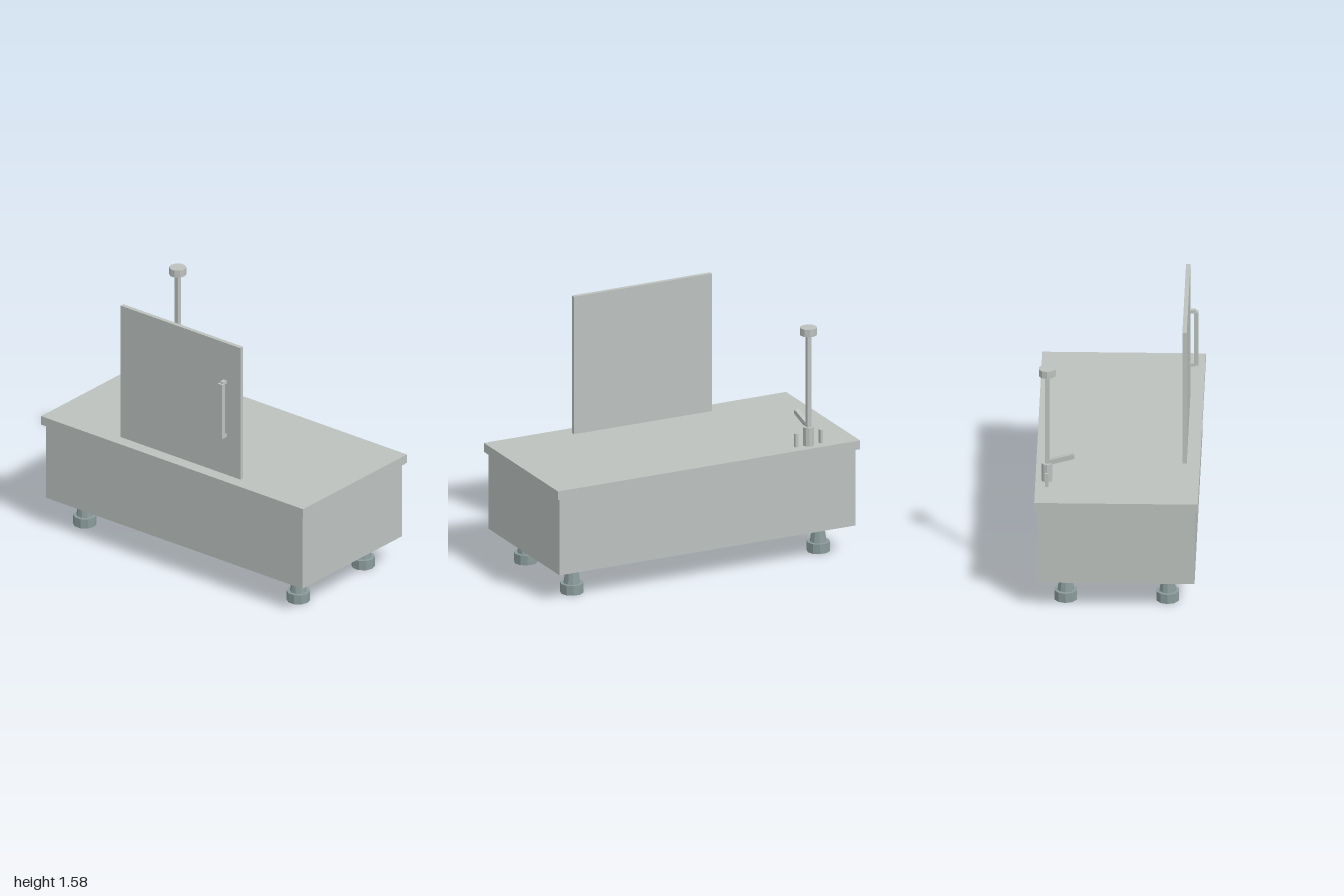
import * as THREE from 'three';

export function createModel() {
  const model = new THREE.Group();
  model.name = 'sinkCabinet';

  const makeMaterial = (name, color) => {
    const m = new THREE.MeshStandardMaterial({ color, flatShading: true });
    m.name = name;
    return m;
  };
  const steel = makeMaterial('light grey', 0xbcc1be);
  const footGrey = makeMaterial('blue grey', 0x8b9b9b);

  const add = (parent, name, geometry, material, x, y, z) => {
    const mesh = new THREE.Mesh(geometry, material);
    mesh.name = name;
    mesh.position.set(x, y, z);
    parent.add(mesh);
    return mesh;
  };
  const group = (name) => {
    const g = new THREE.Group();
    g.name = name;
    model.add(g);
    return g;
  };
  // Box and ten-sided cylinder, both placed by their bottom centre
  const box = (parent, name, w, h, d, x, y, z) =>
    add(parent, name, new THREE.BoxGeometry(w, h, d), steel, x, y + h / 2, z);
  const drum = (parent, name, rTop, rBottom, h, material, x, y, z) =>
    add(parent, name, new THREE.CylinderGeometry(rTop, rBottom, h, 10).rotateY(Math.PI / 2),
      material, x, y + h / 2, z);

  // Cabinet body and overhanging counter
  box(model, 'cabinetBody', 1.956, 0.48, 0.926, 0, 0.18, 0);
  box(model, 'counterTop', 2, 0.055, 0.966, 0, 0.66, 0);

  // Four feet: wide pad and tapered stem
  for (const x of [-0.815, 0.815]) {
    for (const z of [-0.301, 0.301]) {
      const foot = group('foot');
      drum(foot, 'footPad', 0.07, 0.07, 0.06, footGrey, x, 0, z);
      drum(foot, 'footStem', 0.033, 0.05, 0.12, footGrey, x, 0.06, z);
    }
  }

  // Upright door panel with its pull handle
  const door = group('door');
  box(door, 'doorPanel', 0.914, 0.86, 0.026, 0, 0.715, 0.392);
  box(door, 'handleBar', 0.034, 0.35, 0.027, 0.342, 0.972, 0.442);
  for (const y of [0.963, 1.312]) {
    box(door, 'handleMount', 0.024, 0.02, 0.036, 0.342, y, 0.421);
  }

  // Tap: base, tall post with round head, lever and side handles
  const tap = group('tap');
  const tx = -0.693, tz = -0.414;
  drum(tap, 'tapBase', 0.034, 0.034, 0.115, steel, tx, 0.715, tz);
  box(tap, 'tapPost', 0.026, 0.6, 0.026, tx, 0.815, tz);
  drum(tap, 'tapHead', 0.051, 0.051, 0.046, steel, tx, 1.405, tz);
  const lever = add(tap, 'tapLever', new THREE.BoxGeometry(0.028, 0.03, 0.16), steel,
    tx, 0.855, -0.332);
  lever.rotation.x = -0.27;
  for (const side of [-1, 1]) {
    box(tap, 'tapSideHandle', 0.018, 0.083, 0.022, tx + side * 0.082, 0.715, tz);
  }

  return model;
}
